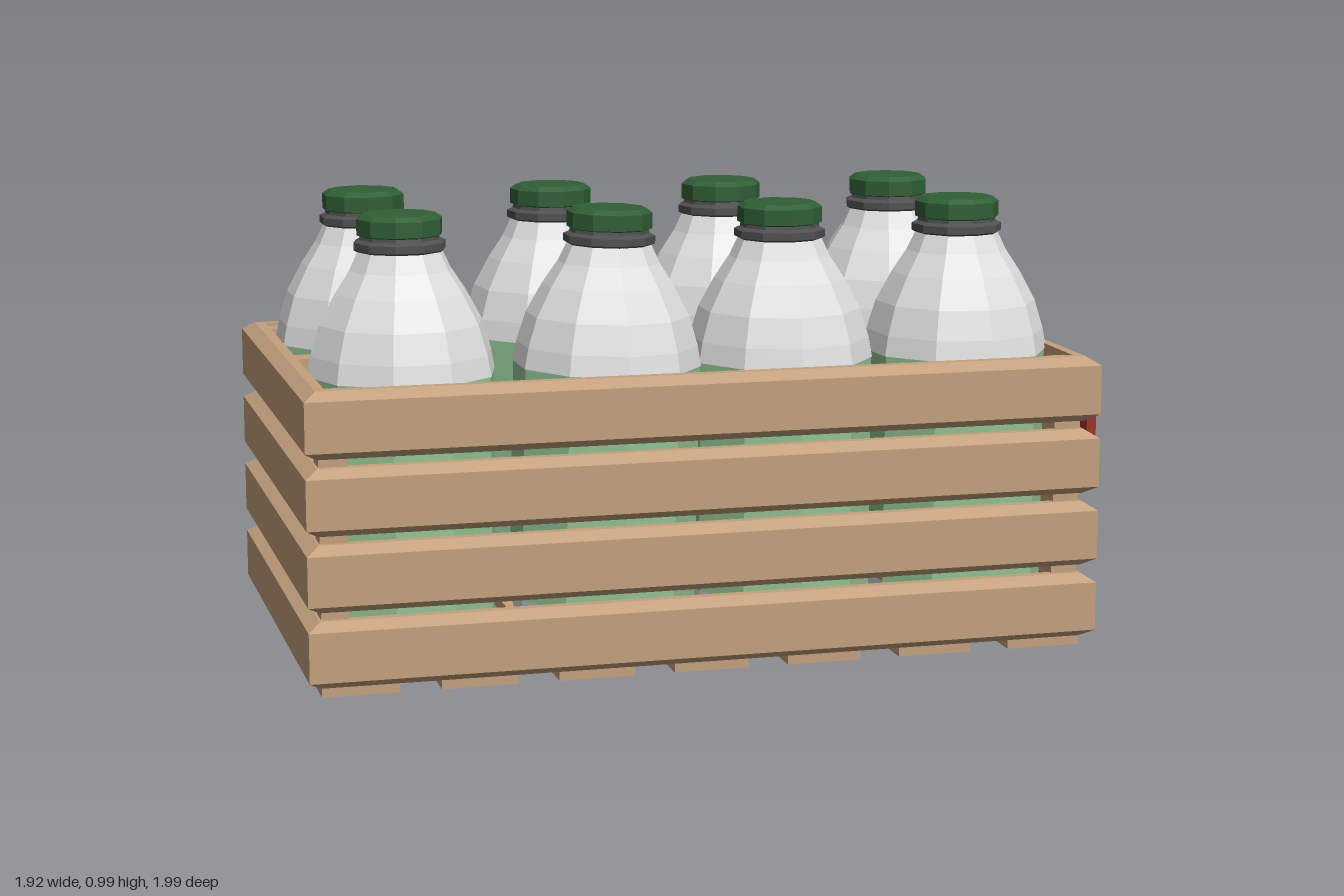
import * as THREE from 'three';

const mat = (name, color, side = THREE.FrontSide) => {
  const m = new THREE.MeshStandardMaterial({ color, flatShading: true, side });
  m.name = name;
  return m;
};

export function createModel() {
  const wood = mat('wood', 0xc3a07c);
  const white = mat('bottle white', 0xe0e0e0, THREE.DoubleSide);
  const label = mat('label green', 0x90c493, THREE.DoubleSide);
  const capGreen = mat('cap green', 0x2f5f35);
  const grey = mat('collar grey', 0x505050);
  const red = mat('sign red', 0xa03025);

  const model = new THREE.Group();
  model.name = 'bottleCrate';
  const crate = new THREE.Group();
  crate.name = 'crate';
  crate.rotation.y = 0.854;
  model.add(crate);

  const add = (parent, name, geo, material, x = 0, y = 0, z = 0) => {
    const m = new THREE.Mesh(geo, material);
    m.name = name;
    m.position.set(x, y, z);
    parent.add(m);
    return m;
  };

  const HX = 0.8825, HZ = 0.5035;

  // Mitred rectangular frame swept from a bevelled board section [inset, y]
  const frameGeometry = (section) => {
    const corners = [[1, 1], [1, -1], [-1, -1], [-1, 1]];
    const at = (c, p) => {
      const [sx, sz] = corners[c % 4];
      const [inset, y] = section[p % section.length];
      return [sx * (HX - inset), y, sz * (HZ - inset)];
    };
    const pos = [];
    for (let c = 0; c < 4; c++) {
      for (let p = 0; p < section.length; p++) {
        const a = at(c, p), b = at(c + 1, p), d = at(c + 1, p + 1), e = at(c, p + 1);
        pos.push(...a, ...b, ...d, ...a, ...d, ...e);
      }
    }
    const g = new THREE.BufferGeometry();
    g.setAttribute('position', new THREE.Float32BufferAttribute(pos, 3));
    g.computeVertexNormals();
    return g;
  };
  const board = frameGeometry([
    [0, 0.018], [0, 0.127], [0.028, 0.145], [0.05, 0.145], [0.05, 0], [0.028, 0],
  ]);
  for (let i = 0; i < 4; i++) add(crate, 'sideBoards', board, wood, 0, 0.02 + i * 0.1635, 0);

  // Floor slats
  const slat = new THREE.BoxGeometry(0.167, 0.028, 2 * (HZ - 0.028));
  for (let i = 0; i < 7; i++) add(crate, 'floorSlat', slat, wood, (i - 3) * 0.2565, 0.014, 0);

  // Inner posts at the corners and the middle of each end
  const post = new THREE.BoxGeometry(0.06, 0.62, 0.06);
  for (const s of [-1, 1]) {
    for (const z of [-0.435, 0, 0.435]) add(crate, 'post', post, wood, s * 0.82, 0.338, z);
  }

  // Three pointed signs on one end
  const w = 0.071;
  const signShape = new THREE.Shape([
    [-w, 0.42], [w, 0.42], [w, 0.555], [0, 0.605], [-w, 0.555],
  ].map(([x, y]) => new THREE.Vector2(x, y)));
  const signGeo = new THREE.ExtrudeGeometry(signShape, { depth: 0.022, bevelEnabled: false });
  signGeo.rotateY(Math.PI / 2);
  for (let i = 0; i < 3; i++) add(crate, 'sign', signGeo, red, HX, 0, 0.062 + i * 0.147);

  // Bottle parts, ten sides each
  const lathe = (pts) => new THREE.LatheGeometry(pts.map(([r, y]) => new THREE.Vector2(r, y)), 10);
  const base = lathe([[0, 0.04], [0.15, 0.03], [0.19, 0.06], [0.206, 0.13]]);
  const wrap = lathe([[0.206, 0.13], [0.206, 0.645]]);
  const shoulder = lathe([
    [0.208, 0.645], [0.2, 0.69], [0.18, 0.755], [0.145, 0.82], [0.112, 0.87], [0.092, 0.912],
  ]);
  const collar = lathe([
    [0.09, 0.908], [0.101, 0.914], [0.101, 0.93], [0.088, 0.936], [0.086, 0.95],
  ]);
  const cap = lathe([[0.084, 0.942], [0.094, 0.946], [0.094, 0.98], [0.08, 0.99], [0, 0.99]]);

  [-0.63, -0.19, 0.222, 0.638].forEach((x, i) => {
    [-0.244, 0.23].forEach((z, j) => {
      const bottle = new THREE.Group();
      bottle.name = 'bottle';
      bottle.position.set(x, 0, z);
      bottle.rotation.y = (i * 2 + j) * 0.37;
      crate.add(bottle);
      add(bottle, 'bottleBase', base, white);
      add(bottle, 'label', wrap, label);
      add(bottle, 'shoulder', shoulder, white);
      add(bottle, 'collar', collar, grey);
      add(bottle, 'cap', cap, capGreen);
      // One bottle leans slightly
      if (i === 1 && j === 1) bottle.rotation.set(0, 0, -0.025);
    });
  });

  return model;
}
